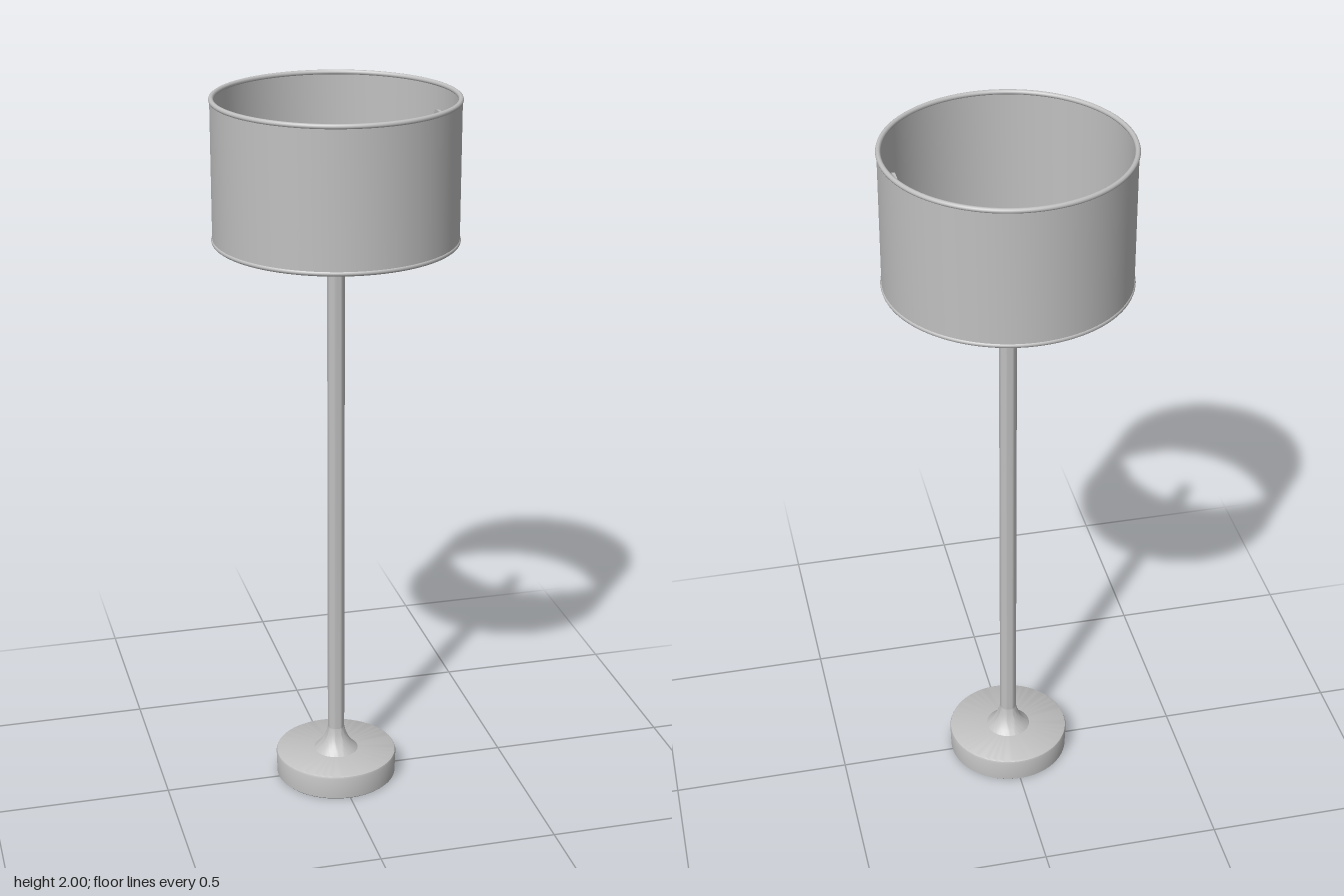
import * as THREE from 'three';
import { toCreasedNormals } from 'three/addons/utils/BufferGeometryUtils.js';

export function createModel() {
  const lamp = new THREE.Group();
  lamp.name = 'floorLamp';
  const grey = new THREE.MeshStandardMaterial({ color: 0xc0c0c0 });
  grey.name = 'plainGrey';

  const add = (name, geometry) => {
    const mesh = new THREE.Mesh(geometry, grey);
    mesh.name = name;
    lamp.add(mesh);
    return mesh;
  };

  // Turned part from a [radius, height] profile, running outward, up, then inward
  const turn = (name, profile, segments = 64) => {
    const points = profile.map(([r, y]) => new THREE.Vector2(r, y));
    return add(name, toCreasedNormals(new THREE.LatheGeometry(points, segments), 0.6));
  };

  // Round foot with a hollow underside
  turn('base', [
    [0, 0.035], [0.158, 0.035], [0.16, 0.002], [0.163, 0], [0.169, 0], [0.172, 0.003],
    [0.174, 0.066], [0.172, 0.071], [0.167, 0.074], [0, 0.075],
  ], 96);

  // Concave flare joining foot and pole
  turn('baseFlare', [
    [0.066, 0.072], [0.06, 0.078], [0.052, 0.086], [0.042, 0.098],
    [0.034, 0.112], [0.028, 0.126], [0.024, 0.145],
  ]);

  // Pole
  turn('pole', [[0.024, 0.1], [0.024, 1.6], [0, 1.6]], 40);

  // Collar and lamp holder inside the shade
  turn('collar', [
    [0.022, 1.588], [0.034, 1.591], [0.039, 1.598], [0.039, 1.606], [0.034, 1.613], [0.022, 1.616],
  ], 48);
  turn('lampHolder', [
    [0.023, 1.6], [0.023, 1.722], [0.02, 1.728], [0.015, 1.728], [0.012, 1.718], [0, 1.716],
  ], 40);

  // Open drum shade with a thin wall
  turn('shade', [
    [0.321, 1.615], [0.329, 1.615], [0.329, 1.994], [0.321, 1.994], [0.321, 1.615],
  ], 96);

  // Rolled rims at both ends of the shade
  for (const [name, y] of [['lowerRim', 1.617], ['upperRim', 1.993]]) {
    const rim = add(name, new THREE.TorusGeometry(0.325, 0.007, 10, 96));
    rim.rotation.x = Math.PI / 2;
    rim.position.y = y;
  }

  // Small upright plate with rounded corners inside the shade
  const w = 0.055, h = 0.135, r = 0.025;
  const outline = new THREE.Shape();
  outline.absarc(w - r, h - r, r, 0, Math.PI / 2);
  outline.absarc(-w + r, h - r, r, Math.PI / 2, Math.PI);
  outline.absarc(-w + r, -h + r, r, Math.PI, Math.PI * 1.5);
  outline.absarc(w - r, -h + r, r, Math.PI * 1.5, Math.PI * 2);
  const plateGeometry = new THREE.ExtrudeGeometry(outline, { depth: 0.008, bevelEnabled: false, curveSegments: 8 });
  plateGeometry.translate(0, 0, -0.004);
  const plate = add('innerPlate', plateGeometry);
  plate.rotation.y = Math.PI / 2;
  plate.position.set(0.286, 1.805, 0);

  return lamp;
}
